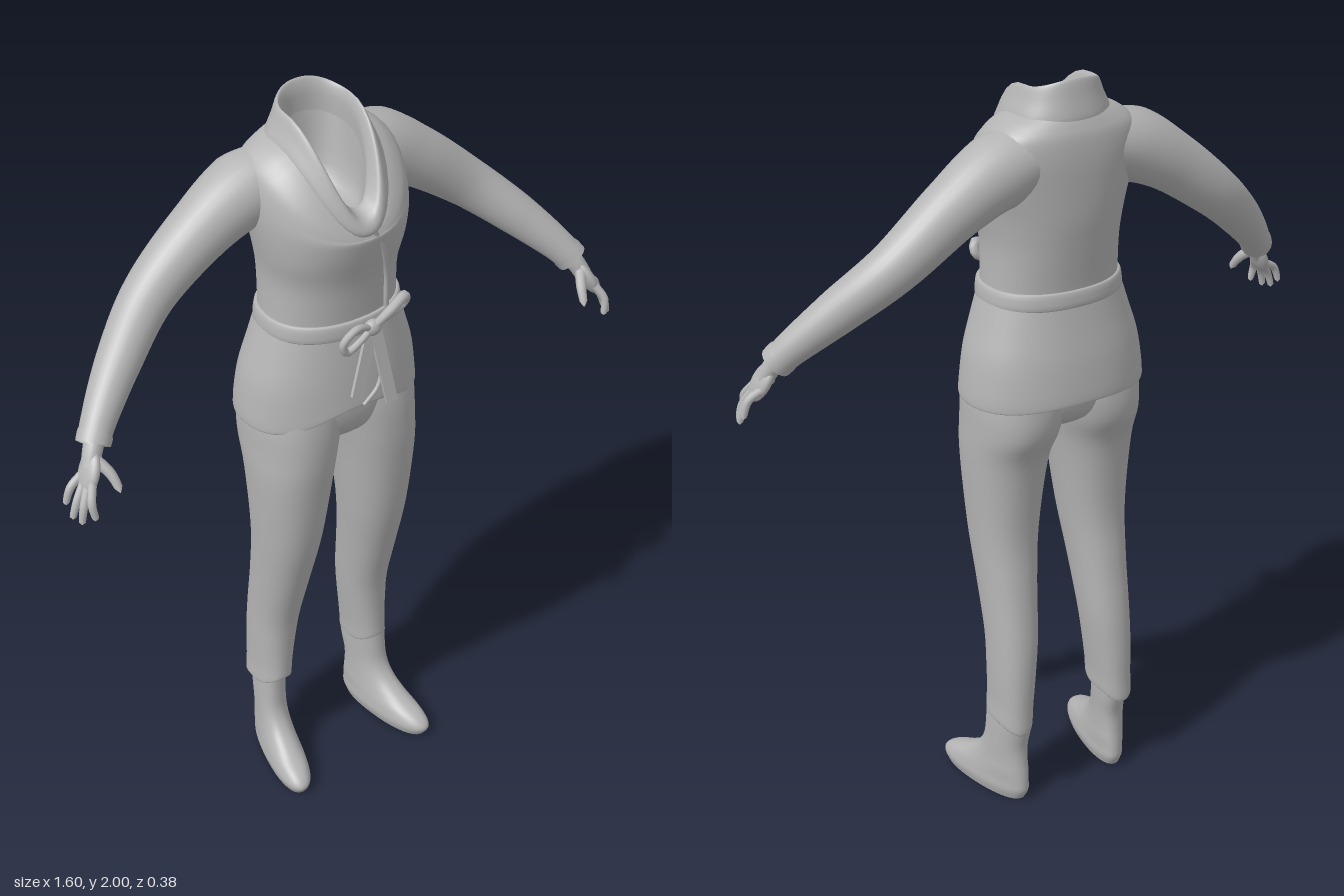
import * as THREE from 'three';

const grey = new THREE.MeshStandardMaterial({ color: 0xb4b4b4, side: THREE.DoubleSide });
grey.name = 'plain grey';

// One cross-section: height, centre x, half width, front z, back z, heights at front and back, z of the widest point
const R = (y, cx, w, zf, zb, yf = y, yb = y, zc = (zf + zb) / 2) => [y, cx, w, zf, zb, yf, yb, zc];

// Smooth skin through cross-sections listed from bottom to top
function loft(rings, { steps = 5, n = 48, e = 0.9, k = 2, skew = 0 } = {}) {
  const pos = [], idx = [], last = rings.length - 1;
  const at = i => rings[Math.min(last, Math.max(0, i))];
  const spline = (a, b, c, d, t) => b + 0.5 * t * (c - a + t * (2 * a - 5 * b + 4 * c - d + t * (3 * (b - c) + d - a)));
  const rows = last * steps + 1;
  for (let r = 0; r < rows; r++) {
    const i = Math.min(last - 1, Math.floor(r / steps)), t = r / steps - i;
    const [y, cx, w, zf, zb, yf, yb, zc] = at(i).map((v, q) => spline(at(i - 1)[q], v, at(i + 1)[q], at(i + 2)[q], t));
    for (let j = 0; j < n; j++) {
      const a = j / n * Math.PI * 2, c = Math.cos(a), s = Math.sin(a);
      const ce = Math.sign(c) * Math.abs(c) ** e, se = Math.sign(s) * Math.abs(s) ** e;
      const z = zc + se * (s > 0 ? zf - zc : zc - zb);
      const yy = y + ((s > 0 ? yf : yb) - y) * Math.abs(s) ** k;
      pos.push(cx + w * ce + skew * (z + 0.06), yy, z);
      if (r < rows - 1) {
        const p = r * n + j, q = r * n + (j + 1) % n;
        idx.push(p, p + n, q, q, p + n, q + n);
      }
    }
  }
  const g = new THREE.BufferGeometry();
  g.setAttribute('position', new THREE.Float32BufferAttribute(pos, 3));
  g.setIndex(idx);
  g.computeVertexNormals();
  return g;
}

// Tube of changing radius through points [x, y, z, radius]
function limb(points, seg = 24, n = 14) {
  const curve = new THREE.CatmullRomCurve3(points.map(p => new THREE.Vector3(p[0], p[1], p[2])));
  const g = new THREE.TubeGeometry(curve, seg, 1, n), pos = g.attributes.position, v = new THREE.Vector3();
  for (let i = 0; i <= seg; i++) {
    const c = curve.getPointAt(i / seg), f = curve.getUtoTmapping(i / seg) * (points.length - 1);
    const a = Math.min(points.length - 2, Math.floor(f));
    const r = THREE.MathUtils.lerp(points[a][3], points[a + 1][3], f - a);
    for (let j = 0; j <= n; j++) {
      const q = i * (n + 1) + j;
      v.fromBufferAttribute(pos, q).sub(c).multiplyScalar(r).add(c);
      pos.setXYZ(q, v.x, v.y, v.z);
    }
  }
  return g;
}

export function createModel() {
  const model = new THREE.Group();
  const add = (name, geometry, parent = model) => {
    const m = new THREE.Mesh(geometry, grey);
    m.name = name;
    parent.add(m);
    return m;
  };

  // Jacket body, from waist to the sloping neck opening
  add('jacketBody', loft([
    R(1.45, 0, 0.178, 0.13, -0.145),
    R(1.49, 0, 0.175, 0.132, -0.148),
    R(1.58, 0, 0.174, 0.142, -0.16),
    R(1.66, 0, 0.187, 0.163, -0.17),
    R(1.74, 0, 0.2, 0.174, -0.174, 1.71, 1.74, -0.03),
    R(1.81, 0, 0.203, 0.172, -0.175, 1.72, 1.81, -0.06),
    R(1.865, 0, 0.19, 0.17, -0.17, 1.725, 1.865, -0.07),
    R(1.898, 0, 0.155, 0.168, -0.16, 1.73, 1.895, -0.06),
    R(1.915, 0, 0.118, 0.164, -0.147, 1.735, 1.92, -0.05),
  ]));

  // Shawl collar: outer face, rolled rim, inner face
  add('collar', loft([
    R(1.895, 0, 0.118, 0.16, -0.148, 1.72, 1.895, -0.05),
    R(1.908, 0, 0.125, 0.172, -0.155, 1.727, 1.908, -0.05),
    R(1.945, 0, 0.108, 0.174, -0.146, 1.74, 1.955, -0.05),
    R(1.975, 0, 0.095, 0.166, -0.138, 1.755, 1.997, -0.05),
    R(1.975, 0, 0.087, 0.15, -0.13, 1.765, 1.999, -0.05),
    R(1.95, 0, 0.08, 0.115, -0.122, 1.775, 1.97, -0.05),
    R(1.9, 0, 0.08, 0.105, -0.12, 1.765, 1.92, -0.05),
  ]));
  add('neckLining', loft([
    R(1.73, 0, 0.001, -0.01, -0.012),
    R(1.76, 0, 0.06, 0.08, -0.09, 1.75, 1.76),
    R(1.9, 0, 0.08, 0.105, -0.12, 1.765, 1.92, -0.05),
  ]));

  // Overlapping front edge
  add('wrapEdge', limb([[0.015, 1.735, 0.168, 0.007], [0.05, 1.66, 0.158, 0.007],
    [0.075, 1.58, 0.135, 0.007], [0.085, 1.47, 0.122, 0.007]], 24, 8));

  // Jacket skirt with hem rising to a notch at the front
  add('jacketSkirt', loft([
    R(1.182, 0, 0.238, 0.148, -0.185, 1.235, 1.192),
    R(1.18, 0, 0.244, 0.154, -0.19, 1.232, 1.19),
    R(1.22, 0, 0.242, 0.152, -0.188, 1.26, 1.225),
    R(1.3, 0, 0.23, 0.147, -0.178, 1.31, 1.3),
    R(1.38, 0, 0.206, 0.139, -0.162),
    R(1.47, 0, 0.178, 0.128, -0.145),
  ], { k: 5 }));
  add('skirtWrapEdge', limb([[0.06, 1.44, 0.134, 0.006], [0.065, 1.34, 0.138, 0.006],
    [0.045, 1.27, 0.15, 0.006], [0, 1.232, 0.154, 0.006]], 16, 8));

  // Belt with knot, loops and hanging ends
  const belt = new THREE.Group();
  belt.name = 'belt';
  model.add(belt);
  add('beltBand', loft([
    R(1.432, 0, 0.18, 0.132, -0.146), R(1.436, 0, 0.188, 0.141, -0.156),
    R(1.472, 0, 0.184, 0.139, -0.153), R(1.476, 0, 0.174, 0.13, -0.144),
  ], { steps: 3 }), belt);
  const knot = add('beltKnot', new THREE.SphereGeometry(1, 16, 12), belt);
  knot.scale.set(0.024, 0.022, 0.018);
  knot.position.set(0.025, 1.452, 0.153);
  const loops = [
    [[0.02, 1.45, 0.155, 0.009], [0.07, 1.497, 0.168, 0.013], [0.112, 1.515, 0.16, 0.014],
      [0.115, 1.49, 0.15, 0.013], [0.07, 1.47, 0.152, 0.011], [0.02, 1.45, 0.15, 0.008]],
    [[0.02, 1.455, 0.155, 0.008], [-0.03, 1.472, 0.165, 0.01], [-0.068, 1.44, 0.163, 0.01],
      [-0.055, 1.412, 0.16, 0.01], [-0.015, 1.43, 0.16, 0.009], [0.02, 1.452, 0.155, 0.008]],
  ];
  for (const p of loops) add('beltLoop', limb(p, 30, 8), belt);
  const ends = [[[0.02, 1.45, 0.155], [-0.038, 1.285, 0.178]], [[0.03, 1.45, 0.155], [0.06, 1.24, 0.188]]];
  for (const [a, b] of ends) {
    const top = new THREE.Vector3(...a), dir = new THREE.Vector3(...b).sub(top);
    const m = add('beltEnd', new THREE.BoxGeometry(0.032, dir.length(), 0.009), belt);
    m.position.copy(top).addScaledVector(dir, 0.5);
    m.quaternion.setFromUnitVectors(new THREE.Vector3(0, -1, 0), dir.normalize());
  }

  // Seat of the trousers, joining the legs
  add('trouserSeat', loft([
    R(1.075, 0, 0.002, -0.01, -0.015),
    R(1.09, 0, 0.06, 0.06, -0.09),
    R(1.13, 0, 0.15, 0.11, -0.14),
    R(1.2, 0, 0.215, 0.128, -0.155),
    R(1.32, 0, 0.2, 0.125, -0.15),
  ]));

  for (const s of [1, -1]) {
    const side = new THREE.Group();
    side.name = s > 0 ? 'leftLimbs' : 'rightLimbs';
    model.add(side);

    // Trouser leg with slanted hem
    add('trouserLeg', loft([
      R(0.262, s * 0.157, 0.043, 0.006, -0.13, 0.29, 0.232),
      R(0.258, s * 0.157, 0.05, 0.016, -0.141, 0.286, 0.228),
      R(0.31, s * 0.154, 0.051, 0.016, -0.141, 0.325, 0.29),
      R(0.4, s * 0.149, 0.057, 0.018, -0.14),
      R(0.5, s * 0.143, 0.063, 0.029, -0.133),
      R(0.65, s * 0.138, 0.072, 0.068, -0.113),
      R(0.8, s * 0.133, 0.085, 0.104, -0.1),
      R(1, s * 0.126, 0.104, 0.13, -0.12),
      R(1.1, s * 0.117, 0.114, 0.136, -0.158),
      R(1.19, s * 0.108, 0.12, 0.132, -0.16),
      R(1.3, s * 0.1, 0.105, 0.115, -0.14),
    ]));

    // Soft boot with toes turned out
    add('boot', loft([
      R(0.004, s * 0.16, 0.044, 0.172, -0.112, 0.004, 0.004, 0.04),
      R(0.03, s * 0.16, 0.051, 0.185, -0.125, 0.03, 0.03, 0.04),
      R(0.058, s * 0.16, 0.049, 0.162, -0.125, 0.055, 0.058, 0.02),
      R(0.088, s * 0.16, 0.046, 0.1, -0.122, 0.085, 0.088, -0.02),
      R(0.122, s * 0.16, 0.043, 0.045, -0.118),
      R(0.17, s * 0.16, 0.042, 0.014, -0.117),
      R(0.24, s * 0.158, 0.043, 0.006, -0.13),
      R(0.32, s * 0.156, 0.042, 0.004, -0.128),
    ], { skew: s * 0.18 }));
    add('sole', loft([
      R(0.002, s * 0.16, 0.0005, 0.041, 0.039, 0.002, 0.002, 0.04),
      R(0.004, s * 0.16, 0.044, 0.172, -0.112, 0.004, 0.004, 0.04),
    ], { steps: 1, skew: s * 0.18 }));

    // Sleeve and cuff
    const m = pts => pts.map(([x, y, z, r]) => [s * x, y, z, r]);
    add('sleeve', limb(m([[0.08, 1.815, -0.075, 0.075], [0.19, 1.79, -0.08, 0.093], [0.3, 1.728, -0.08, 0.078],
      [0.46, 1.605, -0.067, 0.064], [0.58, 1.5, -0.008, 0.055], [0.67, 1.41, 0.05, 0.043], [0.702, 1.372, 0.074, 0.039]]), 48, 28));
    add('cuff', limb(m([[0.69, 1.386, 0.066, 0.038], [0.693, 1.383, 0.068, 0.043], [0.706, 1.366, 0.078, 0.042], [0.708, 1.363, 0.08, 0.022]]), 8, 28));

    // Hand: wrist, flattened palm, four fingers and a thumb
    add('wrist', limb(m([[0.69, 1.385, 0.065, 0.025], [0.712, 1.355, 0.085, 0.024], [0.73, 1.32, 0.1, 0.022]]), 8));
    const palm = add('palm', new THREE.SphereGeometry(1, 20, 14), side);
    const along = new THREE.Vector3(s * 0.042, -0.085, 0.03).normalize();
    const thick = along.clone().cross(new THREE.Vector3(0, 0, 1)).normalize();
    palm.quaternion.setFromRotationMatrix(new THREE.Matrix4().makeBasis(thick, along, thick.clone().cross(along)));
    palm.scale.set(0.018, 0.056, 0.036);
    palm.position.set(s * 0.735, 1.312, 0.104);
    const tips = [[0.757, 1.216, 0.162], [0.782, 1.203, 0.143], [0.792, 1.207, 0.118], [0.793, 1.232, 0.09]];
    tips.forEach(([x, y, z], i) => {
      const root = [0.742, 1.3, 0.13 - i * 0.015, 0.011];
      add('finger', limb(m([root, [(x + 0.764) / 2, y + 0.045, z - 0.006 + i * 0.002, 0.0105],
        [x, y + 0.008, z, 0.0085], [x + 0.001, y, z, 0.001]]), 14, 10), side);
    });
    add('thumb', limb(m([[0.718, 1.342, 0.1, 0.015], [0.696, 1.31, 0.135, 0.013],
      [0.689, 1.28, 0.156, 0.01], [0.688, 1.268, 0.162, 0.001]]), 14, 10), side);
  }
  return model;
}
